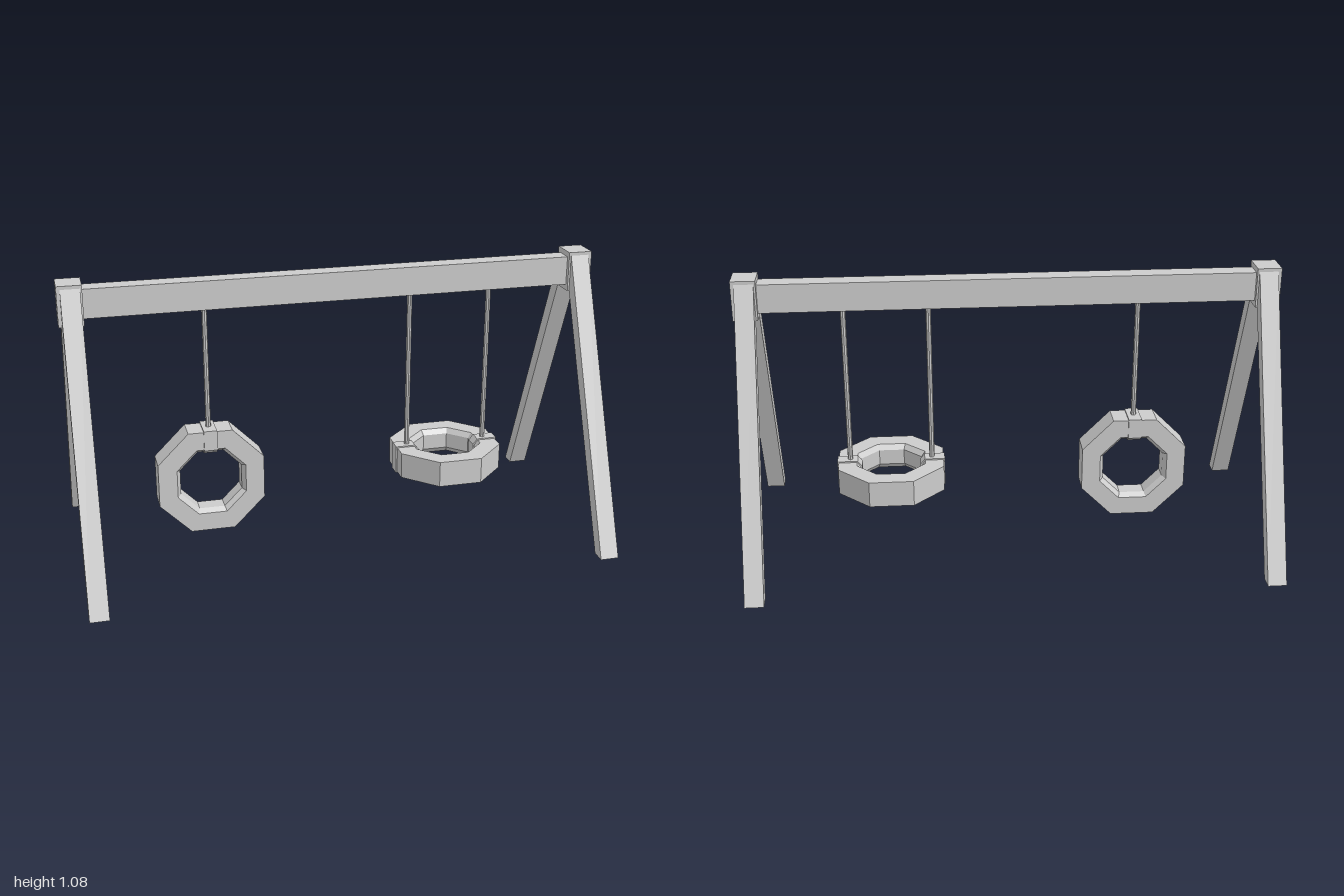
import * as THREE from 'three';

const material = new THREE.MeshStandardMaterial({ color: 0xcccccc, flatShading: true });

function add(parent, name, geometry, x = 0, y = 0, z = 0) {
  const mesh = new THREE.Mesh(geometry, material);
  mesh.name = name;
  mesh.position.set(x, y, z);
  parent.add(mesh);
  return mesh;
}

// Cross-section with bevelled inner edges: [radius, height], counterclockwise
function section(inner, bevel, outer, half, innerHalf) {
  return [[inner, -innerHalf], [bevel, -half], [outer, -half],
    [outer, half], [bevel, half], [inner, innerHalf]];
}

// Eight-sided tire lying flat, with a strap wrapped round it at each given angle
function makeTire(name, strapAngles) {
  const tire = new THREE.Group();
  tire.name = name;
  const k = 1 / Math.cos(Math.PI / 8);
  const profile = section(0.116, 0.13, 0.2, 0.05, 0.03).map(([r, y]) => new THREE.Vector2(r * k, y));
  profile.push(profile[0].clone());
  add(tire, 'tireRing', new THREE.LatheGeometry(profile, 8, Math.PI / 8));

  const strapShape = new THREE.Shape(
    section(0.111, 0.128, 0.205, 0.055, 0.033).map(([r, y]) => new THREE.Vector2(r, y)));
  for (const angle of strapAngles) {
    const geometry = new THREE.ExtrudeGeometry(strapShape, { depth: 0.05, bevelEnabled: false });
    geometry.translate(0, 0, -0.025);
    add(tire, 'strap', geometry).rotation.y = angle;
  }
  return tire;
}

function addRope(parent, x, bottom) {
  const top = 0.96;
  add(parent, 'rope', new THREE.CylinderGeometry(0.01, 0.01, top - bottom, 8), x, (top + bottom) / 2, 0);
}

export function createModel() {
  const model = new THREE.Group();
  model.name = 'tireSwingSet';

  // Top beam
  add(model, 'topBeam', new THREE.BoxGeometry(1.9, 0.108, 0.07), 0, 1.001, 0);

  // End frames: joint block and two slanted legs with level feet
  const legShape = new THREE.Shape([[0.445, 0], [0.5, 0], [0.051, 1.065], [0.04, 1.065], [0.04, 0.94], [0.051, 0.93]]
    .map(([z, y]) => new THREE.Vector2(z, y)));
  for (const side of [-1, 1]) {
    add(model, 'jointBlock', new THREE.BoxGeometry(0.09, 0.15, 0.104), side * 0.955, 1, 0);
    for (const facing of [-1, 1]) {
      const geometry = new THREE.ExtrudeGeometry(legShape, { depth: 0.07, bevelEnabled: false });
      geometry.translate(0, 0, -0.035);
      add(model, facing > 0 ? 'frontLeg' : 'backLeg', geometry, side * 0.952, 0, 0)
        .rotation.y = -facing * Math.PI / 2;
    }
  }

  // Upright tire on a single rope
  const upright = makeTire('uprightTire', [Math.PI / 2]);
  upright.rotation.x = Math.PI / 2;
  upright.position.set(-0.48, 0.28, 0);
  model.add(upright);
  addRope(model, -0.48, 0.47);

  // Flat tire on two ropes
  const flat = makeTire('flatTire', [0, Math.PI]);
  flat.position.set(0.453, 0.28, 0);
  model.add(flat);
  for (const side of [-1, 1]) addRope(model, 0.453 + side * 0.156, 0.32);

  return model;
}
